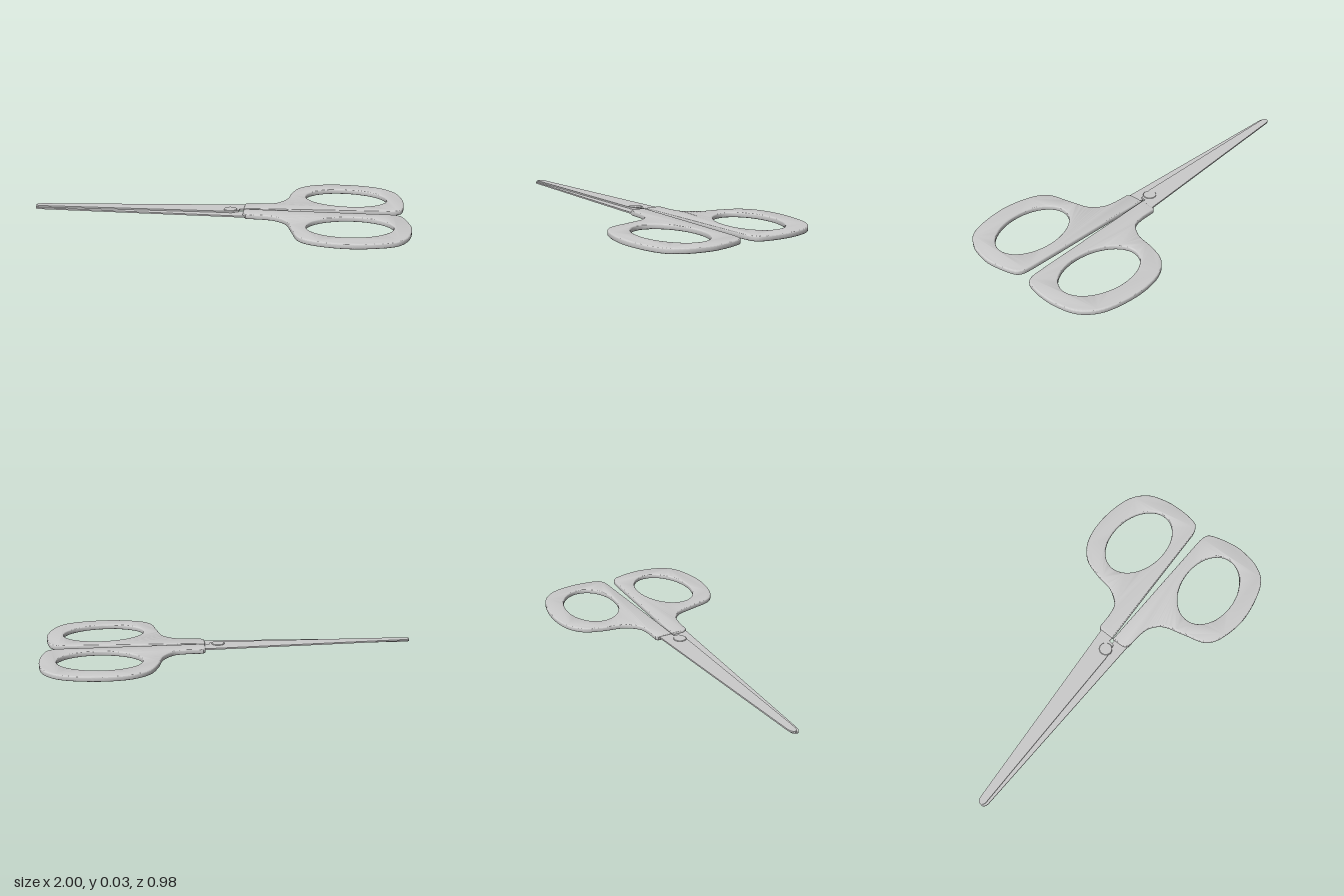
import * as THREE from 'three';
import { toCreasedNormals } from 'three/addons/utils/BufferGeometryUtils.js';

const material = new THREE.MeshStandardMaterial({ color: 0xcccccc });
const v = (p) => new THREE.Vector2(p[0], p[1]);

// Extrude an outline drawn in (x, z) between two heights, keeping its size with the bevel on.
function slab(name, shape, y0, y1, bevelSize, bevelThickness) {
  const geometry = new THREE.ExtrudeGeometry(shape, {
    depth: y1 - y0 - 2 * bevelThickness, curveSegments: 24,
    bevelEnabled: bevelSize > 0, bevelSize, bevelThickness,
    bevelOffset: -bevelSize, bevelSegments: 4,
  });
  geometry.rotateX(Math.PI / 2);
  geometry.translate(0, y1 - bevelThickness, 0);
  const mesh = new THREE.Mesh(toCreasedNormals(geometry, 0.6), material);
  mesh.name = name;
  return mesh;
}

// Handle: straight inner edge, smooth curve around the loop, straight collar, oval finger hole.
function handle(name, inner, loop, collar, hole) {
  const shape = new THREE.Shape();
  shape.moveTo(...inner[0]);
  shape.lineTo(...inner[1]);
  shape.splineThru(loop.map(v));
  collar.forEach((p) => shape.lineTo(...p));
  shape.closePath();
  const [x, z, rx, rz, tilt] = hole;
  const opening = new THREE.Path();
  opening.absellipse(x, z, rx, rz, 0, Math.PI * 2, false, tilt);
  shape.holes.push(opening);
  return slab(name, shape, 0, 0.028, 0.009, 0.006);
}

// Blade: straight edges from the tang to a small rounded tip.
function blade(name, edges, tip, y0, y1) {
  const shape = new THREE.Shape();
  shape.moveTo(...edges[0]);
  edges.slice(1).forEach((p) => shape.lineTo(...p));
  shape.bezierCurveTo(...tip[0], ...tip[1], ...tip[2]);
  shape.closePath();
  return slab(name, shape, y0, y1, 0, 0);
}

export function createModel() {
  const model = new THREE.Group();

  // Finger loops
  model.add(handle('backHandle', [[0.125, 0.015], [0.9, -0.038]], [
    [0.94, -0.05], [0.966, -0.08], [0.979, -0.175], [0.97, -0.285], [0.93, -0.39],
    [0.83, -0.464], [0.655, -0.491], [0.5, -0.468], [0.405, -0.4], [0.365, -0.295],
    [0.345, -0.185], [0.29, -0.106], [0.22, -0.084],
  ], [[0.135, -0.08], [0.125, -0.068]], [0.668, -0.241, 0.222, 0.152, 0.07]));
  model.add(handle('frontHandle', [[0.125, 0.021], [0.88, 0.015]], [
    [0.93, 0.021], [0.962, 0.05], [0.99, 0.145], [0.998, 0.235], [0.97, 0.36],
    [0.89, 0.445], [0.7, 0.491], [0.53, 0.472], [0.435, 0.415], [0.395, 0.295],
    [0.36, 0.185], [0.3, 0.13], [0.23, 0.114],
  ], [[0.145, 0.112], [0.128, 0.09]], [0.688, 0.239, 0.222, 0.152, -0.14]));

  // Two overlapping blades, one above the other
  model.add(blade('upperBlade',
    [[-0.97, 0.055], [0.15, -0.064], [0.15, 0.013], [0.105, 0.014], [0.1, 0.045],
      [0.02, 0.062], [-0.97, 0.096]],
    [[-1.007, 0.096], [-1.013, 0.062], [-0.97, 0.055]], 0.0155, 0.0235));
  model.add(blade('lowerBlade',
    [[0.1, 0.032], [0.15, 0.032], [0.15, 0.109], [-0.965, 0.109]],
    [[-1.015, 0.109], [-1.01, 0.066], [-0.97, 0.066]], 0.0075, 0.0155));

  // Raised heel of the lower blade around the rivet
  const heel = new THREE.Shape([[0.1, 0.04], [-0.5, 0.05], [0.02, -0.01], [0.1, 0.005]].map(v));
  model.add(slab('lowerBladeHeel', heel, 0.008, 0.0155, 0, 0));

  // Rivet holding the blades together
  const pivot = new THREE.Mesh(toCreasedNormals(new THREE.LatheGeometry([
    [0, 0.004], [0.033, 0.004], [0.035, 0.006], [0.035, 0.025], [0.033, 0.027], [0, 0.027],
  ].map(v), 40), 0.5), material);
  pivot.name = 'pivotRivet';
  pivot.position.set(0.055, 0, 0.028);
  model.add(pivot);

  return model;
}
